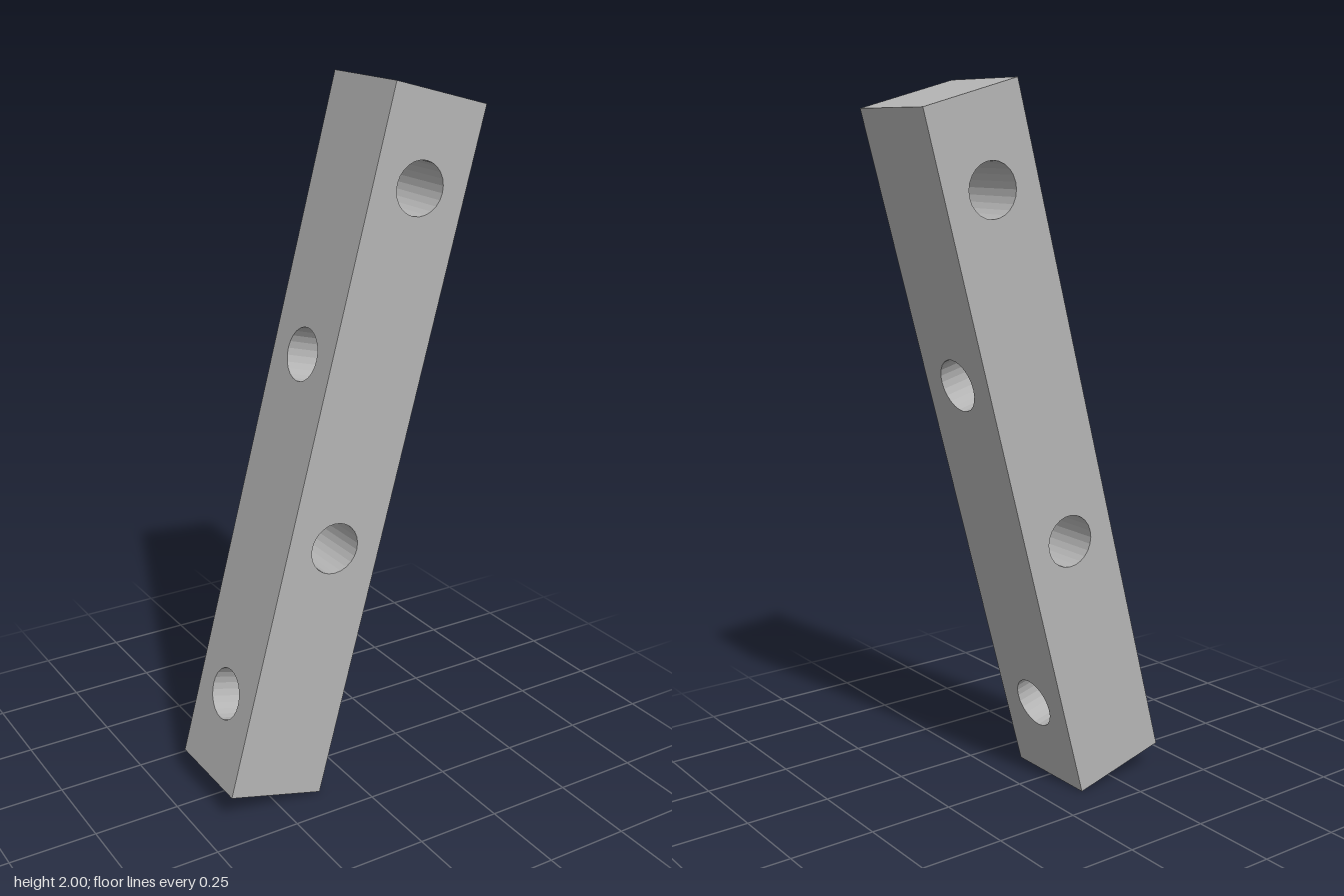
import * as THREE from 'three';
import { mergeGeometries } from 'three/addons/utils/BufferGeometryUtils.js';

const W = 0.295;               // square section
const L = 1.992;               // bar length
const R = W / 4;               // hole radius
const SIDES = 24;              // hole facets
const TILT = Math.PI / 12;     // lean towards +x

// Rectangular face with round holes at the given heights
function faceWithHoles(heights) {
  const s = new THREE.Shape([
    new THREE.Vector2(-W / 2, -L / 2), new THREE.Vector2(W / 2, -L / 2),
    new THREE.Vector2(W / 2, L / 2), new THREE.Vector2(-W / 2, L / 2),
  ]);
  for (const y of heights) {
    s.holes.push(new THREE.Path().absarc(0, y, R, 0, Math.PI * 2, true));
  }
  return new THREE.ShapeGeometry(s, SIDES / 2).translate(0, 0, W / 2);
}

// Inward-facing, faceted wall of a through hole along z
function boreWall(y) {
  const g = new THREE.CylinderGeometry(R, R, W, SIDES, 1, true)
    .rotateX(Math.PI / 2).scale(-1, 1, 1).translate(0, y, 0).toNonIndexed();
  g.computeVertexNormals();
  return g;
}

export function createModel() {
  const grey = new THREE.MeshStandardMaterial({ color: 0xb4b4b4 });
  grey.name = 'grey';

  const model = new THREE.Group();
  model.name = 'drilledBar';
  const faces = [];

  // Two staggered pairs of holes, one through z and one through x
  const pairs = [
    { name: 'frontBore', turn: 0, heights: [L * 3 / 8, -L / 8] },
    { name: 'sideBore', turn: Math.PI / 2, heights: [L / 8, -L * 3 / 8] },
  ];
  for (const { name, turn, heights } of pairs) {
    for (const flip of [0, Math.PI]) {
      faces.push(faceWithHoles(heights).rotateY(turn + flip));
    }
    heights.forEach((y, i) => {
      const bore = new THREE.Mesh(boreWall(y).rotateY(turn), grey);
      bore.name = name + (i ? 'Lower' : 'Upper');
      model.add(bore);
    });
  }

  // Square ends
  for (const s of [1, -1]) {
    faces.push(new THREE.PlaneGeometry(W, W).translate(0, 0, L / 2).rotateX(-s * Math.PI / 2));
  }

  const bar = new THREE.Mesh(mergeGeometries(faces), grey);
  bar.name = 'bar';
  model.add(bar);

  // Lean the bar, lowest corner on the ground
  model.rotation.z = -TILT;
  model.position.y = (L * Math.cos(TILT) + W * Math.sin(TILT)) / 2;

  const root = new THREE.Group();
  root.name = 'leaningBar';
  root.add(model);
  return root;
}
